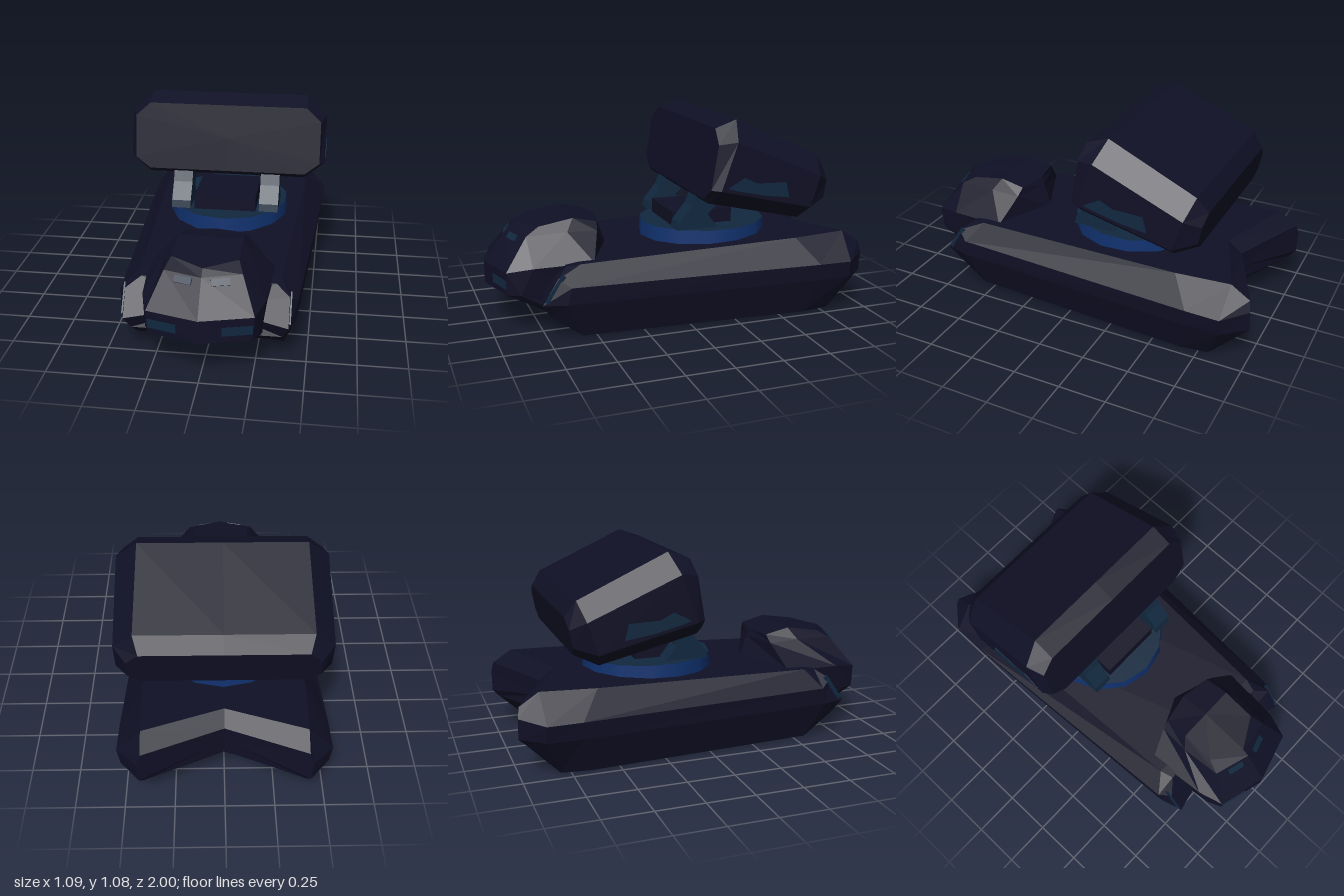
import * as THREE from 'three';

const navy = new THREE.MeshStandardMaterial({ name: 'dark navy', color: 0x101026 });
const teal = new THREE.MeshStandardMaterial({ name: 'deep teal', color: 0x11283f });
const blue = new THREE.MeshStandardMaterial({ name: 'ring blue', color: 0x10316e });

// Skins mirrored half-sections with flat facets and capped ends.
// Each half-section runs from one centreline point to the other through +x.
function loft(halves, firstCentre) {
  const loops = halves.map((h) => [
    ...h,
    ...h.slice(1, -1).reverse().map(([x, y, z]) => [-x, y, z]),
  ]);
  const n = loops[0].length;
  const pos = [];
  const tri = (...pts) => pts.forEach((p) => pos.push(...p));
  for (let k = 0; k < loops.length - 1; k++) {
    for (let i = 0; i < n; i++) {
      const j = (i + 1) % n;
      tri(loops[k][i], loops[k][j], loops[k + 1][i]);
      tri(loops[k][j], loops[k + 1][j], loops[k + 1][i]);
    }
  }
  const middle = (h) => h[0].map((v, i) => (v + h[h.length - 1][i]) / 2);
  const first = loops[0], last = loops[loops.length - 1];
  const a = firstCentre || middle(halves[0]);
  const b = middle(halves[halves.length - 1]);
  for (let i = 0; i < n; i++) {
    const j = (i + 1) % n;
    tri(a, first[j], first[i]);
    tri(b, last[i], last[j]);
  }
  const g = new THREE.BufferGeometry();
  g.setAttribute('position', new THREE.Float32BufferAttribute(pos, 3));
  g.computeVertexNormals();
  return g;
}

// Chamfered launcher section between a top and a bottom point (z, y)
function boxSection([zt, yt], [zb, yb], w, c) {
  const h = yt - yb;
  const at = (x, d) => [x, yt - d, zt + ((zb - zt) * d) / h];
  return [at(0, 0), at(w - c, 0), at(w, c * 0.9), at(w, h - c * 0.75), at(w - c, h), at(0, h)];
}

export function createModel() {
  const model = new THREE.Group();
  model.name = 'launcherVehicle';
  const add = (name, geometry, material, parent = model) => {
    const m = new THREE.Mesh(geometry, material);
    m.name = name;
    parent.add(m);
    return m;
  };

  // Hull, from the sloped front panels to the notched tail
  add('hull', loft([
    [[0, 0.37, 0.64], [0.34, 0.37, 0.64], [0.41, 0.33, 0.7], [0.41, 0.2, 0.78], [0.38, 0.13, 0.74], [0, 0.13, 0.74]],
    [[0, 0.38, 0.57], [0.36, 0.38, 0.57], [0.45, 0.29, 0.64], [0.445, 0.2, 0.66], [0.38, 0.005, 0.57], [0, 0.025, 0.57]],
    [[0, 0.42, -0.6], [0.42, 0.42, -0.6], [0.53, 0.29, -0.7], [0.52, 0.2, -0.7], [0.45, 0.005, -0.65], [0, 0.025, -0.6]],
    [[0, 0.42, -0.73], [0.41, 0.43, -0.89], [0.535, 0.29, -0.88], [0.52, 0.2, -0.88], [0.43, 0.005, -0.8], [0, 0.025, -0.65]],
    [[0, 0.36, -0.81], [0.41, 0.365, -0.99], [0.43, 0.31, -1], [0.42, 0.2, -1], [0.4, 0.17, -0.97], [0, 0.19, -0.8]],
  ]), navy);

  // Faceted cab with a pointed nose, from roof down to chin
  add('cab', loft([
    [[0, 0.54, 0.4], [0.16, 0.54, 0.43], [0.165, 0.57, 0.56], [0.165, 0.54, 0.74], [0, 0.53, 0.83]],
    [[0, 0.5, 0.385], [0.2, 0.5, 0.44], [0.21, 0.51, 0.6], [0.19, 0.5, 0.81], [0, 0.5, 0.87]],
    [[0, 0.37, 0.34], [0.33, 0.37, 0.49], [0.3, 0.36, 0.8], [0.26, 0.34, 0.93], [0, 0.34, 1]],
    [[0, 0.22, 0.36], [0.3, 0.22, 0.5], [0.28, 0.22, 0.86], [0.25, 0.22, 0.93], [0, 0.22, 1]],
    [[0, 0.1, 0.4], [0.28, 0.1, 0.5], [0.28, 0.1, 0.66], [0.26, 0.1, 0.7], [0, 0.1, 0.7]],
  ], [0, 0.57, 0.56]), navy);

  // Painted lamps, viewing slits and hull stripes
  for (const s of [1, -1]) {
    const lamp = add('headlight', new THREE.BoxGeometry(0.15, 0.045, 0.008), teal);
    lamp.position.set(s * 0.18, 0.275, 0.95);
    lamp.rotation.y = s * 0.27;
    const slit = add('viewSlit', new THREE.BoxGeometry(0.09, 0.035, 0.008), teal);
    slit.position.set(s * 0.09, 0.48, 0.863);
    slit.rotation.set(-0.68, s * 0.27, 0, 'YXZ');
    const stripe = add('hullStripe', new THREE.BoxGeometry(0.008, 0.16, 0.022), teal);
    stripe.position.set(s * 0.416, 0.28, 0.715);
    stripe.rotation.x = -0.6;
  }

  // Turret ring and pedestal
  const ring = add('turretRing', new THREE.CylinderGeometry(0.33, 0.335, 0.08, 14), [blue, teal, blue]);
  ring.scale.z = 1.06;
  ring.position.set(0, 0.435, -0.22);
  const pedestal = add('pedestal', new THREE.BoxGeometry(0.34, 0.085, 0.34), navy);
  pedestal.position.set(0, 0.51, -0.16);

  // Bent support arms
  const profile = new THREE.Shape([
    [0.03, 0.485], [0.02, 0.525], [-0.05, 0.61], [-0.09, 0.7], [-0.22, 0.68],
    [-0.19, 0.61], [-0.14, 0.56], [-0.2, 0.485],
  ].map(([z, y]) => new THREE.Vector2(z, y)));
  for (const s of [1, -1]) {
    const g = new THREE.ExtrudeGeometry(profile, { depth: 0.105, bevelEnabled: false });
    g.rotateY(-Math.PI / 2);
    g.translate(s > 0 ? 0.295 : -0.19, 0, 0);
    add('supportArm', g, teal);
  }

  // Tapered, chamfered launcher box
  const launcher = new THREE.Group();
  launcher.name = 'launcher';
  model.add(launcher);
  add('launcherBox', loft([
    boxSection([-0.12, 1.04], [-0.06, 0.68], 0.51, 0.08),
    boxSection([-0.235, 1.08], [-0.085, 0.655], 0.54, 0.11),
    boxSection([-0.7, 0.87], [-0.595, 0.54], 0.535, 0.1),
    boxSection([-0.755, 0.79], [-0.72, 0.6], 0.47, 0.06),
  ]), navy, launcher);

  // Painted patches on the launcher sides
  const patch = new THREE.Shape([
    [-0.15, 0.75], [-0.24, 0.8], [-0.31, 0.765], [-0.47, 0.76], [-0.49, 0.68], [-0.35, 0.7], [-0.2, 0.735],
  ].map(([z, y]) => new THREE.Vector2(z, y)));
  for (const s of [1, -1]) {
    const g = new THREE.ExtrudeGeometry(patch, { depth: 0.009, bevelEnabled: false });
    g.rotateY(-Math.PI / 2);
    g.translate(s * 0.538 + 0.0045, 0, 0);
    add('launcherPatch', g, teal, launcher);
  }

  return model;
}
